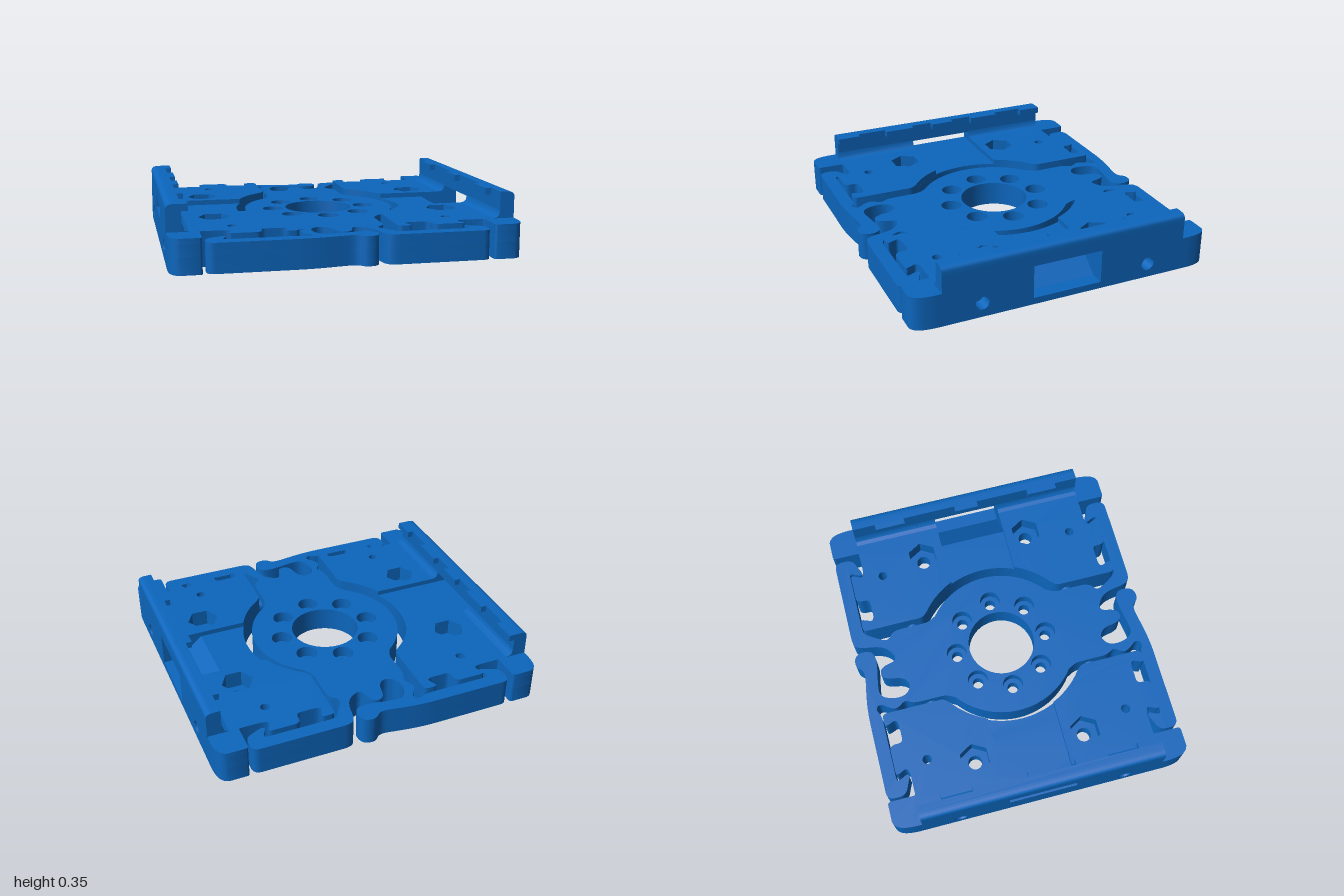
import * as THREE from 'three';
import { toCreasedNormals } from 'three/addons/utils/BufferGeometryUtils.js';

const material = new THREE.MeshStandardMaterial({ color: 0x0c66bd });
const SIDE_Z = 0.21; // half width of the lowered channel

// Corner list [x, z, rounding] to a smooth-cornered outline
function outline(points, type = THREE.Shape) {
  const path = new type();
  const n = points.length;
  points.forEach(([x, z, r = 0], i) => {
    const p = new THREE.Vector2(x, z);
    const toward = (q) => {
      const d = new THREE.Vector2(q[0], q[1]).sub(p);
      const len = d.length();
      return d.multiplyScalar(len ? Math.min(r, len / 2) / len : 0).add(p);
    };
    const a = toward(points[(i + n - 1) % n]);
    const b = toward(points[(i + 1) % n]);
    if (i === 0) path.moveTo(a.x, a.y);
    else path.lineTo(a.x, a.y);
    if (r > 0) path.quadraticCurveTo(p.x, p.y, b.x, b.y);
  });
  path.closePath();
  return path;
}

function ring(x, z, r, sides = 32) {
  const pts = [];
  for (let i = 0; i < sides; i++) {
    const a = (i / sides) * Math.PI * 2;
    pts.push([x + r * Math.cos(a), z + r * Math.sin(a)]);
  }
  return outline(pts, THREE.Path);
}

// Points on a circle about the origin, between two angles
function arc(r, a0, a1, steps = 14) {
  return Array.from({ length: steps + 1 }, (_, i) => {
    const a = a0 + ((a1 - a0) * i) / steps;
    return [r * Math.cos(a), r * Math.sin(a)];
  });
}

const flipX = (pts) => pts.map(([x, z, r]) => [-x, z, r]);
const flipZ = (pts) => pts.map(([x, z, r]) => [x, -z, r]);
const withMirror = (half) => [...half, ...flipZ(half).reverse()];

function extrude(shape, depth) {
  return new THREE.ExtrudeGeometry(shape, { depth, bevelEnabled: false, curveSegments: 6 });
}

function addMesh(group, name, geometry) {
  const mesh = new THREE.Mesh(toCreasedNormals(geometry, 0.5), material);
  mesh.name = name;
  group.add(mesh);
}

// Horizontal slab from y0 to y1
function addSlab(group, name, points, holes, y0, y1) {
  const shape = outline(points);
  shape.holes.push(...holes);
  addMesh(group, name, extrude(shape, y1 - y0).rotateX(-Math.PI / 2).translate(0, y0, 0));
}

// Central disc plate with spring clips, described for z < 0
function centreHalf() {
  const hook = [[0.28, -0.835, 0.05], [0.7, -0.835, 0.02], [0.7, -0.815, 0.02], [0.675, -0.765, 0.015],
    [0.69, -0.752, 0.02], [0.8, -0.8, 0.04], [0.8, -0.915, 0.05]];
  const join = Math.atan2(0.365, 0.28);
  return [
    ...arc(0.46, -Math.PI, -Math.PI + join),
    [-0.25, -0.42, 0.03], [-0.25, -0.63, 0.05], [-0.215, -0.675, 0.1], [-0.26, -0.73, 0.1],
    [-0.245, -0.775, 0.1], [-0.2, -0.83, 0.1], [-0.23, -0.865, 0.1],
    ...flipX(hook),
    // Free thumb tip
    [-0.22, -0.915, 0.1], [0.03, -0.875, 0.06], [0.07, -0.93, 0.08], [0.15, -0.915, 0.1], [0.16, -0.82, 0.1],
    [0.1, -0.785, 0.1], [-0.04, -0.81, 0.1], [-0.15, -0.825, 0.1],
    // Wavy stop
    [-0.19, -0.75, 0.1], [-0.19, -0.66, 0.1], [-0.13, -0.615, 0.1], [-0.07, -0.65, 0.1], [-0.055, -0.76, 0.1],
    [-0.01, -0.79, 0.1], [0.035, -0.76, 0.1], [0.05, -0.66, 0.1], [0.13, -0.695, 0.1], [0.17, -0.76, 0.1],
    [0.185, -0.88, 0.1], [0.22, -0.915, 0.05],
    ...[...hook].reverse(),
    [0.26, -0.81, 0.1], [0.22, -0.75, 0.1], [0.19, -0.69, 0.1], [0.25, -0.65, 0.06], [0.25, -0.42, 0.03],
    ...arc(0.46, -join, 0),
  ];
}

// Side plate at +x, described for z < 0, starting on the line z = zStart
function plateHalf(zStart, end) {
  return [
    ...arc(0.515, -Math.asin(zStart / 0.515), -Math.atan2(0.41, 0.312)),
    [0.28, -0.445, 0.02], [0.28, -0.83, 0.03], [0.36, -0.83, 0.025], [0.355, -0.805, 0.02], [0.335, -0.76, 0.02],
    [0.36, -0.745, 0.02], [0.485, -0.745, 0.03], [0.485, -0.83, 0.04], [0.672, -0.83, 0.025], [0.67, -0.81, 0.02],
    [0.645, -0.76, 0.02], [0.68, -0.745, 0.02], [0.82, -0.745, 0.01], [0.82, -0.915, 0.02],
    // Rounded outer corner
    [0.94, -0.915], [0.965, -0.905, 0.05], [0.99, -0.87, 0.06], [1, -0.8, 0.04],
    [1, -0.745], [0.915, -0.745], ...end,
  ];
}

function addSidePlate(group, sx) {
  const ramped = sx > 0;
  const place = (pts) => (sx > 0 ? pts : flipX(pts));
  const holes = (signs, sides, radius) => signs.flatMap((s) => [
    ring(sx * 0.695, s * 0.347, radius, sides), ring(sx * 0.625, s * 0.627, 0.028, 20)]);
  const base = place(withMirror(plateHalf(0, ramped ? [[0.915, -SIDE_Z], [0.75, -SIDE_Z]] : [[0.915, 0]])));
  addSlab(group, 'plateBase', base, holes([1, -1], 24, 0.043), 0, 0.1);
  addSlab(group, 'plateNutLayer', base, holes([1, -1], 6, 0.095), 0.1, 0.17);
  const top = place(plateHalf(SIDE_Z, [[0.915, -SIDE_Z]]));
  // Slab outlines use the opposite z sign; each land takes its own holes
  addSlab(group, 'backLand', flipZ(top), holes([1], 6, 0.095), 0.17, 0.2);
  addSlab(group, 'frontLand', top, holes([-1], 6, 0.095), 0.17, 0.2);
  if (ramped) {
    const ramp = outline([[0.75, 0], [0.915, 0], [0.915, 0.04], [0.75, 0.17]]);
    addMesh(group, 'ramp', extrude(ramp, SIDE_Z * 2).translate(0, 0, -SIDE_Z));
  }

  // Upright wall with window and pin holes
  const wall = outline([[-0.745, 0], [0.745, 0], [0.745, 0.3], [-0.745, 0.3]]);
  const low = ramped ? 0.04 : 0.17;
  wall.holes.push(outline([[-SIDE_Z, low], [SIDE_Z, low], [SIDE_Z, 0.24], [-SIDE_Z, 0.24]], THREE.Path));
  for (const z of [-0.515, 0.515]) wall.holes.push(ring(z, 0.085, 0.04, 24));
  addMesh(group, 'railWall', extrude(wall, 0.085).rotateY(Math.PI / 2).translate(sx > 0 ? 0.915 : -1, 0, 0));

  // Rounded rail top
  const cap = outline(place([[0.915, 0.3], [1, 0.3], [1, 0.355, 0.05], [0.915, 0.355]]));
  addMesh(group, 'railCap', extrude(cap, 1.49).translate(0, 0, -0.745));

  // Overhanging lip teeth
  const teeth = ramped ? [[-0.6, -0.41], [-0.075, 0.075], [0.41, 0.6]]
    : [[-0.745, -0.6], [-0.41, -0.215], [-0.075, 0.075], [0.215, 0.41], [0.6, 0.745]];
  for (const [z0, z1] of teeth) {
    const tooth = new THREE.BoxGeometry(0.037, 0.04, z1 - z0);
    addMesh(group, 'lipTooth', tooth.translate(sx * 0.8975, 0.335, (z0 + z1) / 2));
  }

  // Fillets at the foot of the wall and the pins to the centre plate
  const fillet = outline(place([[0.92, 0.195], [0.92, 0.245], [0.915, 0.245], [0.91, 0.22], [0.9, 0.207], [0.875, 0.2],
    [0.875, 0.195]]));
  const length = 0.745 - SIDE_Z;
  for (const s of [-1, 1]) {
    addMesh(group, 'wallFillet', extrude(fillet, length).translate(0, 0, s > 0 ? SIDE_Z : -0.745));
    const pin = new THREE.CylinderGeometry(0.04, 0.04, 0.1, 24).rotateZ(Math.PI / 2);
    addMesh(group, 'pin', pin.translate(sx * 0.265, 0.085, s * 0.515));
  }
}

export function createModel() {
  const model = new THREE.Group();
  model.name = 'clipPlate';

  // Centre plate: bottom recess, screw holes, counterbores
  const centre = new THREE.Group();
  centre.name = 'centrePlate';
  const body = withMirror(centreHalf());
  const bolts = (r) => Array.from({ length: 8 }, (_, i) => {
    const a = (i * Math.PI) / 4;
    return ring(0.29 * Math.cos(a), 0.29 * Math.sin(a), r, 24);
  });
  addSlab(centre, 'centreBottom', body, [ring(0, 0, 0.36, 64)], 0, 0.02);
  addSlab(centre, 'centreMiddle', body, [ring(0, 0, 0.207, 64), ...bolts(0.034)], 0.02, 0.1);
  addSlab(centre, 'centreTop', body, [ring(0, 0, 0.207, 64), ...bolts(0.063)], 0.1, 0.17);
  model.add(centre);

  for (const [name, sx] of [['leftPlate', 1], ['rightPlate', -1]]) {
    const plate = new THREE.Group();
    plate.name = name;
    addSidePlate(plate, sx);
    model.add(plate);
  }
  return model;
}
